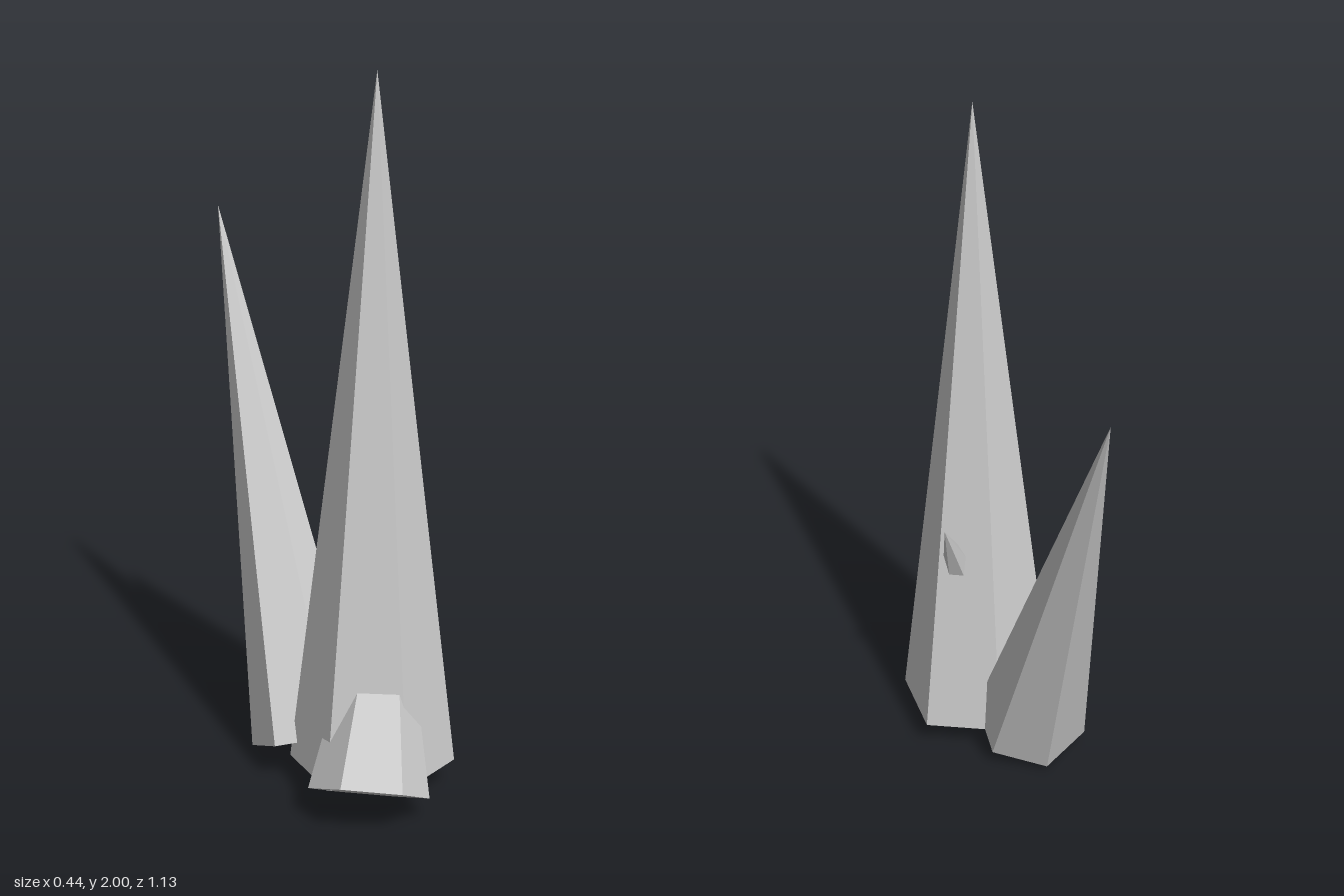
import * as THREE from 'three';

export function createModel() {
  const group = new THREE.Group();
  const stone = new THREE.MeshStandardMaterial({ color: 0xcccccc, flatShading: true });
  stone.name = 'pale grey crystal';

  // Six-sided spike from base centre to tip; corner points towards one base corner.
  // squash shortens the two corners that lie along that direction.
  function crystal(name, base, tip, radius, corner, squash = 1) {
    const from = new THREE.Vector3(...base);
    const axis = new THREE.Vector3(...tip).sub(from);
    const height = axis.length();
    axis.normalize();

    let geometry = new THREE.ConeGeometry(radius, height, 6);
    geometry.translate(0, height / 2, 0);
    const pos = geometry.attributes.position;
    for (let i = 0; i < pos.count; i++) {
      if (Math.abs(pos.getX(i)) < radius * 0.1) pos.setZ(i, pos.getZ(i) * squash);
    }
    geometry = geometry.toNonIndexed();
    geometry.computeVertexNormals();

    const z = new THREE.Vector3(...corner).projectOnPlane(axis).normalize();
    const x = new THREE.Vector3().crossVectors(axis, z);
    const mesh = new THREE.Mesh(geometry, stone);
    mesh.name = name;
    mesh.quaternion.setFromRotationMatrix(new THREE.Matrix4().makeBasis(x, axis, z));
    mesh.position.copy(from);
    group.add(mesh);
  }

  // Tall upright spike
  crystal('mainCrystal', [0.025, 0.083, 0.238], [0.025, 2, 0.238], 0.227, [0, 0, 1], 0.905);
  // Spike leaning to the back
  crystal('backCrystal', [-0.078, 0.087, 0.055], [-0.062, 1.48, -0.567], 0.165, [0, -0.067, -0.15]);
  // Short spike passing through the main one, its tip showing behind
  crystal('frontCrystal', [-0.077, 0.083, 0.416], [0.17, 0.8, 0.075], 0.164, [-0.123, 0.077, 0.075]);

  return group;
}
